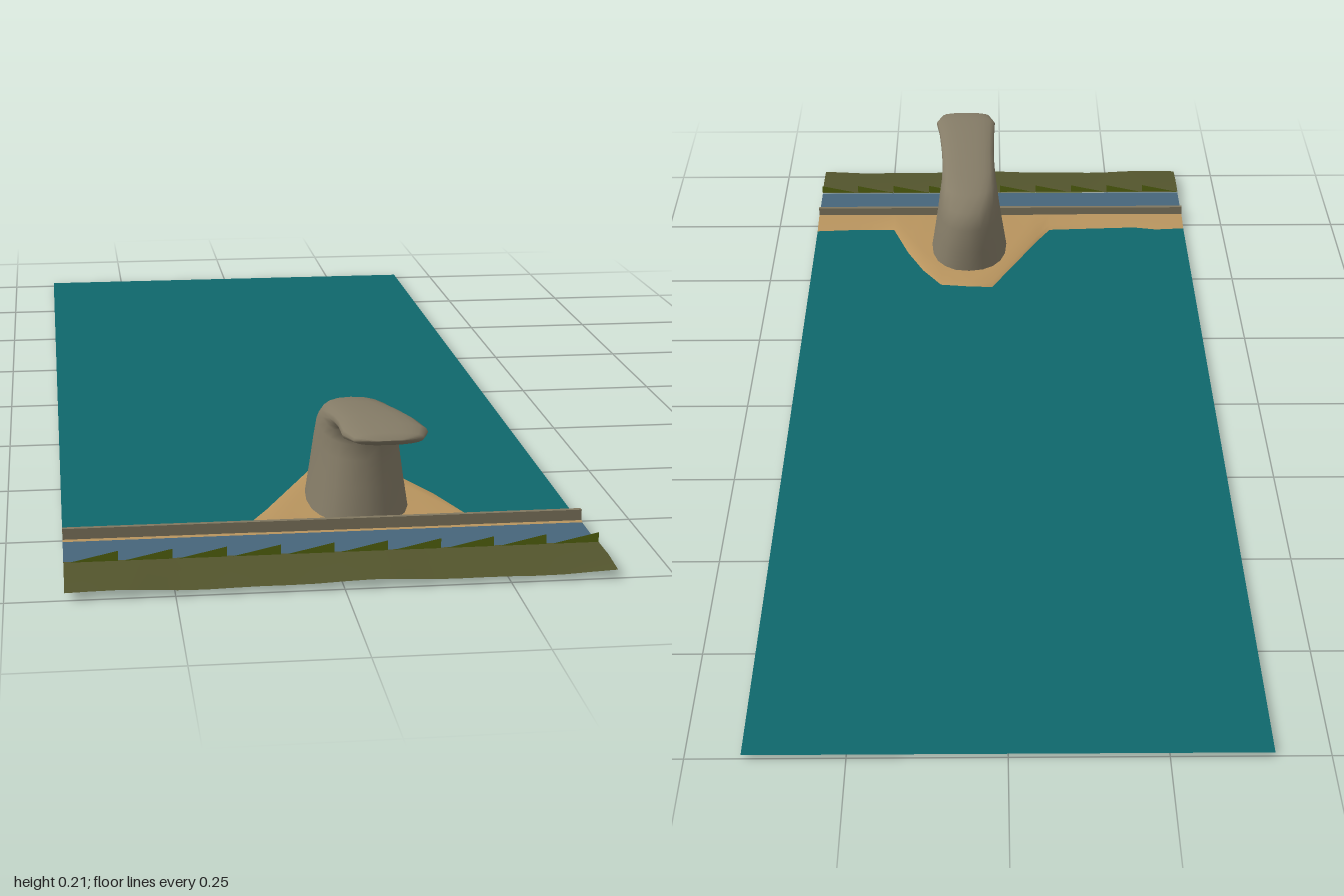
import * as THREE from 'three';

const HALF = 0.412;

function mat(name, color, double = true) {
  const m = new THREE.MeshStandardMaterial({ color });
  m.name = name;
  if (double) m.side = THREE.DoubleSide;
  return m;
}

// Skin a surface over rows of [x, y, z] points; wrap closes each row into a ring
function loft(rows, wrap = false) {
  const n = rows[0].length, index = [];
  for (let r = 0; r < rows.length - 1; r++) {
    for (let i = 0; i < (wrap ? n : n - 1); i++) {
      const j = (i + 1) % n;
      const a = r * n + i, b = r * n + j, c = a + n, d = b + n;
      index.push(a, b, d, a, d, c);
    }
  }
  const g = new THREE.BufferGeometry();
  g.setAttribute('position', new THREE.Float32BufferAttribute(rows.flat(2), 3));
  g.setIndex(index);
  g.computeVertexNormals();
  return g;
}

// Hooked rock: each ring spans a back/top point and a front/under point
function rockGeometry() {
  // back z, back y, front z, front y, centre x, half width
  const sections = [
    [0.515, 0.008, 0.762, 0.008, 0.070, 0.083],
    [0.515, 0.060, 0.753, 0.070, 0.070, 0.074],
    [0.517, 0.110, 0.750, 0.115, 0.070, 0.067],
    [0.530, 0.145, 0.748, 0.140, 0.070, 0.063],
    [0.570, 0.168, 0.755, 0.158, 0.070, 0.059],
    [0.640, 0.181, 0.775, 0.170, 0.071, 0.057],
    [0.720, 0.196, 0.800, 0.177, 0.073, 0.058],
    [0.800, 0.209, 0.830, 0.182, 0.075, 0.061],
    [0.868, 0.213, 0.875, 0.184, 0.078, 0.066],
    [0.905, 0.209, 0.905, 0.190, 0.078, 0.054],
    [0.915, 0.200, 0.915, 0.199, 0.078, 0.020],
    [0.915, 0.200, 0.915, 0.200, 0.078, 0.000],
  ];
  const n = 20;
  const rows = sections.map(([bz, by, fz, fy, cx, hw]) =>
    Array.from({ length: n }, (_, i) => {
      const a = (i / n) * Math.PI * 2;
      // Slightly squared ellipse
      const c = Math.sign(Math.cos(a)) * Math.abs(Math.cos(a)) ** 0.85;
      const s = Math.sign(Math.sin(a)) * Math.abs(Math.sin(a)) ** 0.85;
      return [
        cx + s * hw,
        (by + fy) / 2 + (c * (fy - by)) / 2,
        (bz + fz) / 2 + (c * (fz - bz)) / 2,
      ];
    }));
  return loft(rows, true);
}

// Beach: shoreline z for each x, its rim dipping under the water
function beachGeometry() {
  const shore = [
    [-HALF, 0.72], [-0.35, 0.715], [-0.3, 0.725], [-0.2, 0.72], [-0.11, 0.715],
    [-0.08, 0.66], [0.02, 0.455], [0.07, 0.458], [0.13, 0.466], [0.17, 0.53],
    [0.205, 0.61], [0.24, 0.717], [0.32, 0.718], [HALF, 0.712],
  ];
  return loft([
    shore.map(([x]) => [x, 0.014, 0.793]),
    shore.map(([x, z]) => [x, 0.015, Math.min(z + 0.07, 0.775)]),
    shore.map(([x, z]) => [x, 0.011, z + 0.018]),
    shore.map(([x, z]) => [x, 0.0075, z]),
    shore.map(([x, z], i) => [x, i === 8 ? 0 : 0.003, z - 0.014]),
  ]);
}

// Grass verge with a gently uneven outer edge
function vergeGeometry() {
  const xs = Array.from({ length: 21 }, (_, i) => -HALF + (i / 20) * 2 * HALF);
  const wave = (x) => 0.002 * Math.sin(x * 15 + 1) + 0.001 * Math.sin(x * 34);
  return loft([
    xs.map((x) => [x, 0.011 + wave(x), 1]),
    xs.map((x) => [x, 0.016 + wave(x) * 0.5, 0.945]),
    xs.map((x) => [x, 0.016, 0.885]),
  ]);
}

// Row of upright wedge-shaped grass blades
function bladesGeometry() {
  const count = 10, w = (2 * HALF) / count;
  const shapes = Array.from({ length: count }, (_, i) => {
    const x = -HALF + i * w;
    return new THREE.Shape([
      new THREE.Vector2(x, 0.014),
      new THREE.Vector2(x + w, 0.014),
      new THREE.Vector2(x + w, 0.032),
    ]);
  });
  return new THREE.ShapeGeometry(shapes);
}

export function createModel() {
  const group = new THREE.Group();
  group.name = 'coast';
  const add = (name, geometry, material, x = 0, y = 0, z = 0) => {
    const mesh = new THREE.Mesh(geometry, material);
    mesh.name = name;
    mesh.position.set(x, y, z);
    group.add(mesh);
  };
  const flat = (depth) => new THREE.PlaneGeometry(2 * HALF, depth).rotateX(-Math.PI / 2);

  add('sea', flat(1.78), mat('seaTeal', 0x0f686c), 0, 0.0075, -0.11);
  add('beach', beachGeometry(), mat('sand', 0xb8945e));
  add('seaWall', new THREE.BoxGeometry(2 * HALF, 0.023, 0.008), mat('wallStone', 0x80775f, false), 0, 0.0205, 0.78);
  add('road', flat(0.1), mat('roadBlue', 0x46657b), 0, 0.0125, 0.838);
  add('grassVerge', vergeGeometry(), mat('grassOlive', 0x53552d));
  add('grassBlades', bladesGeometry(), mat('bladeGreen', 0x56660f), 0, 0, 0.888);
  add('rock', rockGeometry(), mat('rockGrey', 0x857c67));
  return group;
}
